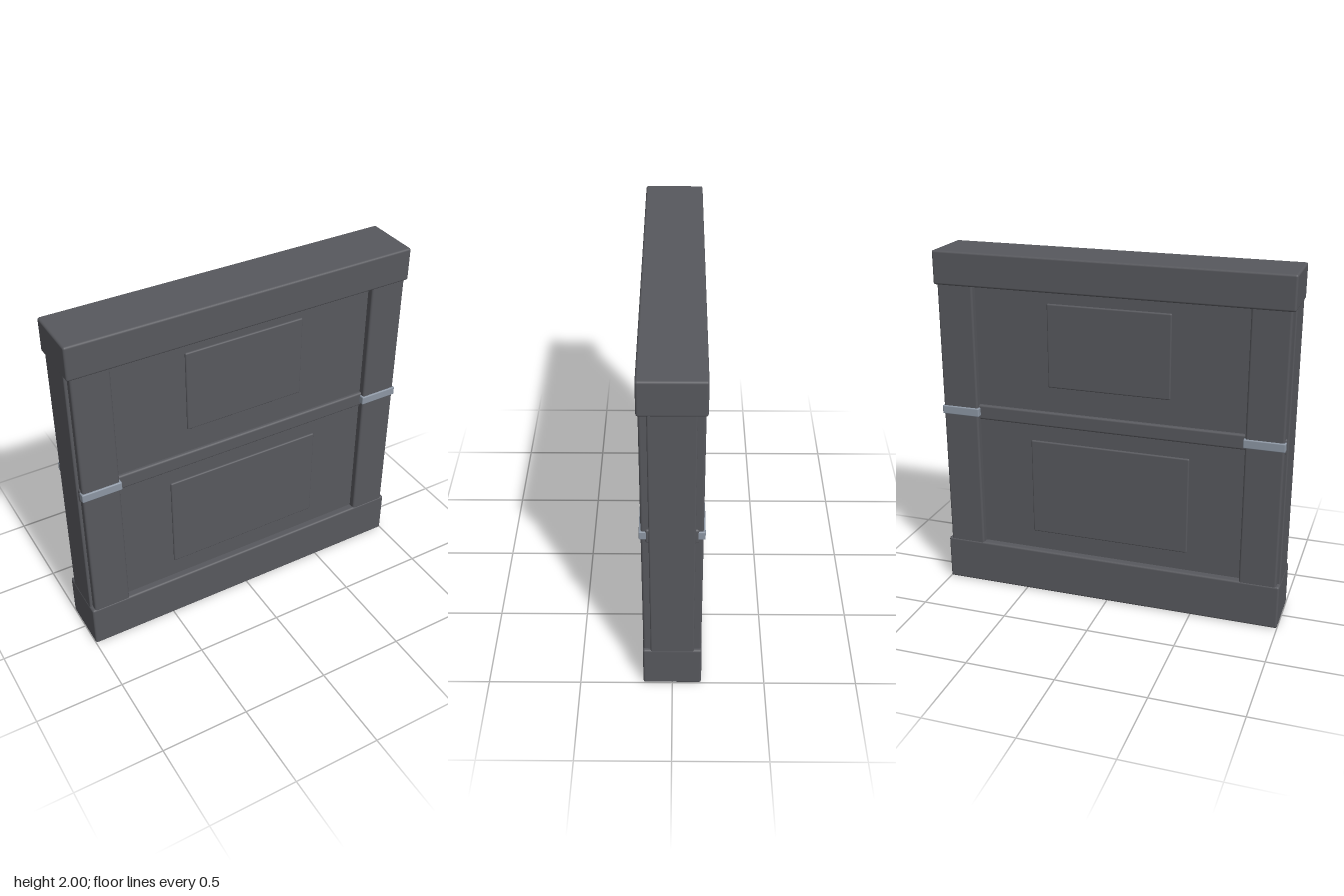
import * as THREE from 'three';
import { RoundedBoxGeometry } from 'three/addons/geometries/RoundedBoxGeometry.js';

export function createModel() {
  const group = new THREE.Group();
  group.name = 'wallPanel';

  const darkGrey = new THREE.MeshStandardMaterial({ color: 0x57585d });
  darkGrey.name = 'darkGrey';
  const steel = new THREE.MeshStandardMaterial({ color: 0x8c96a3 });
  steel.name = 'steel';

  // Softly rounded block spanning x0..x1 and y0..y1, symmetric in z
  function block(name, x0, x1, y0, y1, halfDepth, material = darkGrey, radius = 0.008) {
    const geometry = new RoundedBoxGeometry(x1 - x0, y1 - y0, halfDepth * 2, 3, radius);
    const mesh = new THREE.Mesh(geometry, material);
    mesh.name = name;
    mesh.position.set((x0 + x1) / 2, (y0 + y1) / 2, 0);
    group.add(mesh);
  }

  // Core slab, running out to both ends between the beams
  block('core', -0.998, 0.998, 0.02, 1.98, 0.115);

  // Horizontal members
  block('baseBeam', -1, 1, 0, 0.26, 0.157, darkGrey, 0.012);
  block('topBeam', -1, 1, 1.81, 2, 0.163, darkGrey, 0.012);
  block('middleRail', -0.99, 0.99, 1.035, 1.122, 0.133, darkGrey, 0.012);

  // Raised plates, showing on both faces
  block('lowerPlate', -0.465, 0.46, 0.37, 0.94, 0.125);
  block('upperPlate', -0.352, 0.348, 1.267, 1.742, 0.125);

  // Posts and their steel bands, mirrored
  for (const [side, label] of [[1, 'left'], [-1, 'right']]) {
    const span = (a, b) => (side > 0 ? [a, b] : [-b, -a]);
    block(label + 'Post', ...span(0.772, 0.982), 0.1, 1.9, 0.154, darkGrey, 0.012);
    block(label + 'Band', ...span(0.763, 0.988), 1.057, 1.107, 0.163, steel, 0.006);
  }

  return group;
}
